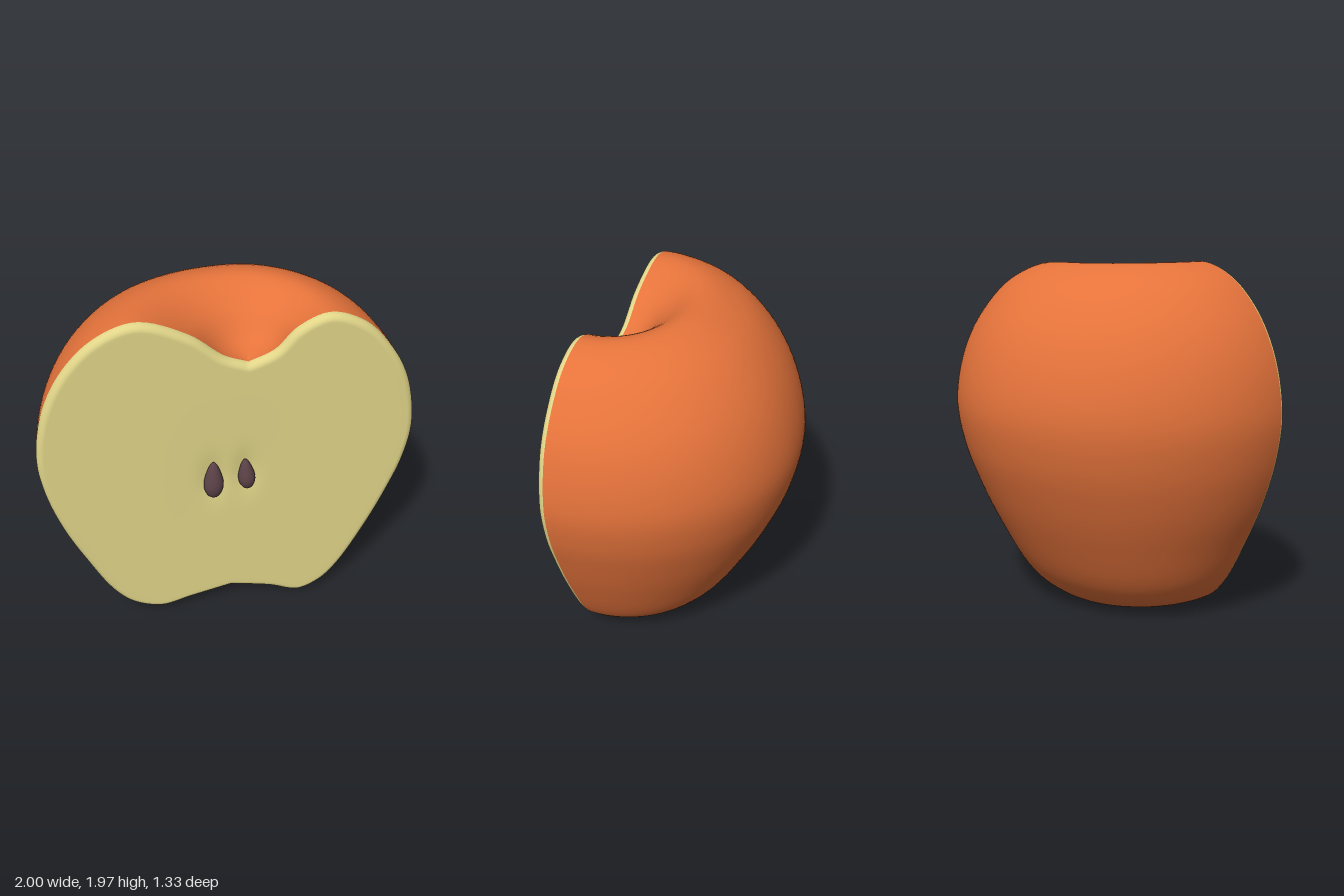
import * as THREE from 'three';
import { mergeVertices } from 'three/addons/utils/BufferGeometryUtils.js';

const mat = (name, color, side = THREE.FrontSide) => {
  const m = new THREE.MeshStandardMaterial({ color, side });
  m.name = name;
  return m;
};

// Smooth surface from a rule f(u, v) -> [x, y, z]
function surface(nu, nv, f) {
  const pos = [], idx = [];
  for (let i = 0; i <= nu; i++)
    for (let j = 0; j <= nv; j++) pos.push(...f(i / nu, j / nv));
  for (let i = 0; i < nu; i++)
    for (let j = 0; j < nv; j++) {
      const a = i * (nv + 1) + j, b = a + nv + 1;
      idx.push(a, b, a + 1, b, b + 1, a + 1);
    }
  let g = new THREE.BufferGeometry();
  g.setAttribute('position', new THREE.Float32BufferAttribute(pos, 3));
  g.setIndex(idx);
  g = mergeVertices(g, 1e-5);
  g.computeVertexNormals();
  return g;
}

const TURN = 0.25, RIM = 0.04;
const curve = (pts) => new THREE.CatmullRomCurve3(pts.map(([x, y]) => new THREE.Vector3(x, y, 0)));
const onCut = (pts) => curve(pts.map(([x, y]) => [(x - 0.01) / Math.cos(TURN), y]));

// Profiles from the stem hollow down to the base hollow
const right = onCut([[0.12, 1.69], [0.25, 1.75], [0.36, 1.87], [0.52, 1.94], [0.7, 1.87], [0.85, 1.7],
  [0.95, 1.5], [1, 1.2], [0.97, 0.97], [0.9, 0.75], [0.8, 0.5], [0.65, 0.2], [0.55, 0.08],
  [0.42, 0.02], [0.25, 0.08], [0.03, 0.13]]);
const left = onCut([[0.12, 1.69], [0, 1.74], [-0.17, 1.88], [-0.42, 1.98], [-0.62, 1.91], [-0.79, 1.74],
  [-0.91, 1.5], [-0.965, 1.2], [-0.94, 0.95], [-0.87, 0.7], [-0.77, 0.46], [-0.64, 0.2], [-0.53, 0.08],
  [-0.37, 0.025], [-0.2, 0.07], [0.03, 0.13]]);
const back = curve([[0, 1.69], [0.12, 1.74], [0.25, 1.87], [0.43, 1.97], [0.68, 1.88], [0.86, 1.7],
  [0.98, 1.47], [1.035, 1.2], [1, 0.95], [0.91, 0.7], [0.8, 0.47], [0.64, 0.2], [0.52, 0.08],
  [0.38, 0.01], [0.2, 0.07], [0, 0.13]]);

// Skin: sweep right -> back -> left, blending the profiles
function skinPoint(t, v) {
  const phi = v * Math.PI, c = Math.cos(phi), s = Math.sin(phi);
  const axis = THREE.MathUtils.lerp(right.points[0].x, right.points[15].x, t);
  const side = (c >= 0 ? right : left).getPoint(t), rear = back.getPoint(t);
  const r = (side.x - axis) * (c >= 0 ? 1 : -1) * c * c + rear.x * s * s;
  return [axis + r * c, side.y * c * c + rear.y * s * s, -RIM - r * s];
}

// Outline of the cut, clockwise from the stem hollow
const outline = (v) => {
  v = (v + 1) % 1;
  return v < 0.5 ? right.getPoint(2 * v) : left.getPoint(2 - 2 * v);
};

const seeds = [
  { x: -0.08, y: 0.97, w: 0.055, h: 0.24, tilt: 0 },
  { x: 0.1, y: 0.99, w: 0.047, h: 0.2, tilt: 0.08 },
];

// Flesh: rounded rim, then a flat face with shallow seed pockets
function fleshPoint(u, v) {
  const p = outline(v), n = outline(v + 0.002).sub(outline(v - 0.002)).normalize();
  const a = Math.min(u / 0.2, 1) * Math.PI / 2, inset = RIM * (1 - Math.cos(a));
  const k = Math.max(0, (u - 0.2) / 0.8);
  const x = THREE.MathUtils.lerp(p.x + n.y * inset, 0.02, k);
  const y = THREE.MathUtils.lerp(p.y - n.x * inset, 0.98, k);
  let z = -RIM + RIM * Math.sin(a);
  for (const s of seeds)
    z -= 0.018 * Math.exp(-(((x - s.x) / 0.07) ** 2) - ((y - s.y) / 0.14) ** 2);
  return [x, y, z];
}

export function createModel() {
  const skinMat = mat('orange skin', 0xe5733b, THREE.DoubleSide);
  const fleshMat = mat('pale flesh', 0xe0d488);
  const seedMat = mat('brown seed', 0x5c4348);

  const model = new THREE.Group();
  model.name = 'halfApple';
  const add = (name, geometry, material) => {
    const m = new THREE.Mesh(geometry, material);
    m.name = name;
    model.add(m);
    return m;
  };

  add('skin', surface(96, 80, skinPoint), skinMat);
  add('cutFlesh', surface(40, 192, fleshPoint), fleshMat);

  // Teardrop seeds, pointed end up
  const drop = new THREE.SplineCurve([[0, -0.5], [0.55, -0.45], [0.95, -0.25], [0.95, -0.02], [0.6, 0.28],
    [0.25, 0.45], [0, 0.5]].map(([r, y]) => new THREE.Vector2(r, y))).getPoints(28);
  drop.forEach((p) => { p.x = Math.max(p.x, 0); });
  const seedGeo = new THREE.LatheGeometry(drop, 28);
  for (const s of seeds) {
    const m = add('seed', seedGeo, seedMat);
    m.position.set(s.x, s.y, 0);
    m.rotation.z = s.tilt;
    m.scale.set(s.w, s.h, 0.044);
  }

  model.position.set(0.02, 0, 0.413);
  model.rotation.y = TURN;
  const root = new THREE.Group();
  root.name = 'model';
  root.add(model);
  return root;
}
